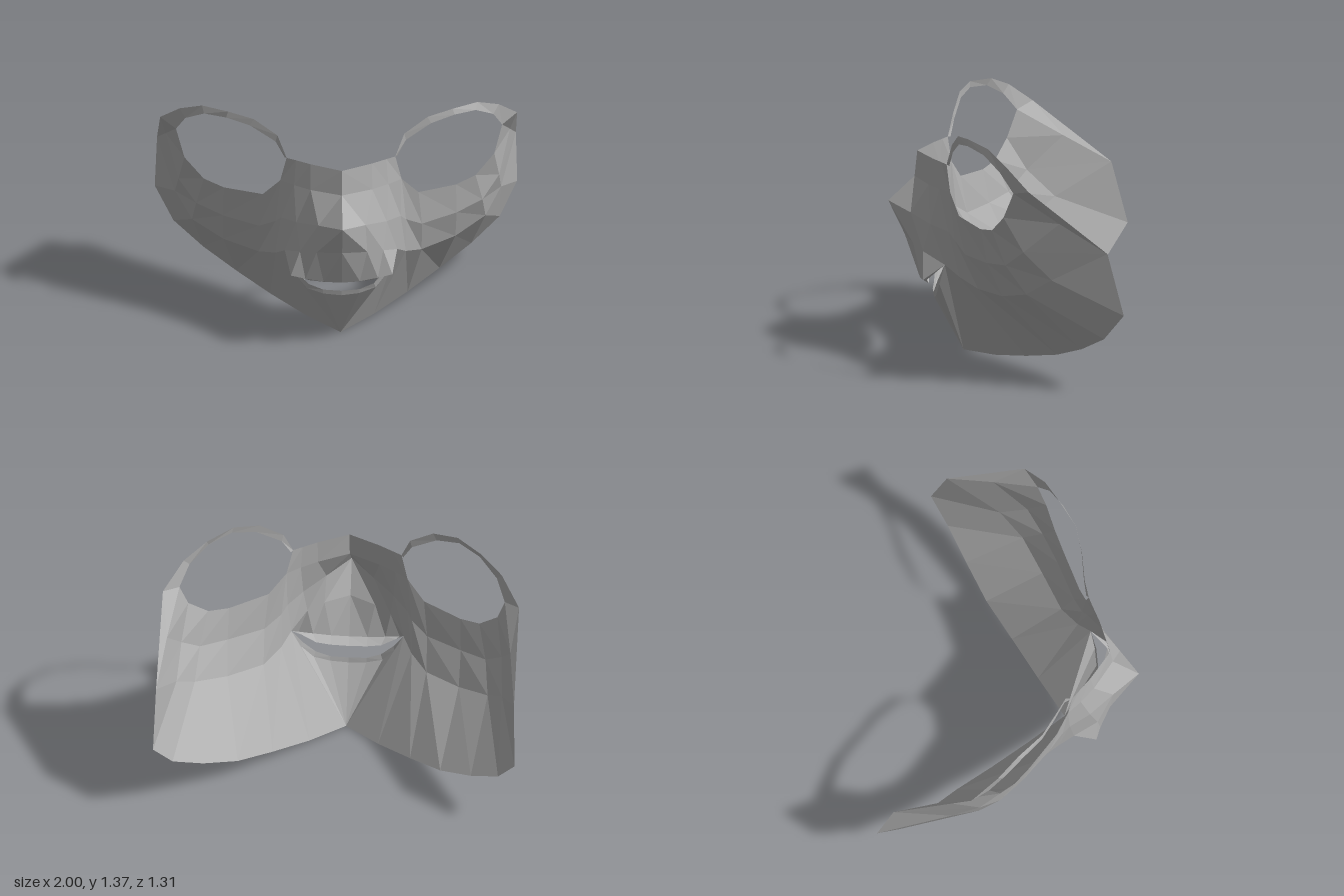
import * as THREE from 'three';

const grey = new THREE.MeshStandardMaterial({ color: 0xb3b3b3 });
grey.name = 'mask grey';
grey.side = THREE.DoubleSide;
grey.flatShading = true;

// Faceted sheet lofted through rows of points (top row first, x rising), plus its mirror image.
function sheet(name, rows) {
  const pos = [];
  const tri = (...pts) => {
    const [a, b, c] = pts.map(p => new THREE.Vector3(...p));
    if (b.clone().sub(a).cross(c.clone().sub(a)).length() < 1e-7) return;
    for (const v of [a, b, c]) pos.push(v.x, v.y, v.z);
    for (const v of [a, c, b]) pos.push(-v.x, v.y, v.z);
  };
  for (let r = 0; r < rows.length - 1; r++) {
    const top = rows[r], low = rows[r + 1];
    for (let i = 0; i < top.length - 1; i++) {
      tri(top[i], low[i], low[i + 1]);
      tri(top[i], low[i + 1], top[i + 1]);
    }
  }
  const geo = new THREE.BufferGeometry();
  geo.setAttribute('position', new THREE.Float32BufferAttribute(pos, 3));
  geo.computeVertexNormals();
  const mesh = new THREE.Mesh(geo, grey);
  mesh.name = name;
  return mesh;
}

export function createModel() {
  const group = new THREE.Group();
  group.name = 'faceMask';

  // Lower edge of the eye hole, from nose to temple
  const eye = [[0.335, 0.985, 0.31], [0.335, 0.985, 0.31], [0.43, 0.875, 0.26], [0.64, 0.857, 0.14],
    [0.75, 0.88, 0.075], [0.855, 0.98, 0.01], [0.9, 1.13, -0.045]];
  const eyeInner = [0.31, 1.13, 0.315];
  const browEnd = [0.3, 1.135, 0.33];
  const temple = [0.985, 1.16, -0.13];

  // Middle of the cheek
  const cheek = [[0.33, 0.76, 0.32], [0.36, 0.72, 0.285], [0.45, 0.66, 0.225], [0.645, 0.665, 0.105],
    [0.79, 0.69, 0], [0.885, 0.79, -0.1], [0.95, 0.97, -0.3]];

  // Crease under the cheek
  const crease = [[0.31, 0.565, 0.34], [0.36, 0.51, 0.26], [0.45, 0.465, 0.155], [0.64, 0.475, 0.02],
    [0.81, 0.53, -0.115], [0.9, 0.635, -0.255], [0.99, 0.81, -0.565]];

  // Bottom edge from chin to the back corner
  const bottom = [[0, 0, 0.24], [0.19, 0.02, 0.065], [0.38, 0.065, -0.11], [0.56, 0.12, -0.28],
    [0.74, 0.2, -0.42], [0.9, 0.3, -0.545], [1, 0.46, -0.655]];

  // Mouth edge of the jaw, from the middle outwards
  const jaw = [[0, 0.315, 0.405], [0.1, 0.325, 0.4], [0.19, 0.355, 0.39], [0.26, 0.44, 0.37]];
  const jawInner = [[0, 0.345, 0.41], [0.1, 0.352, 0.405], [0.18, 0.385, 0.4], [0.25, 0.46, 0.38]];

  group.add(sheet('cheeks', [eye, cheek, crease]));
  group.add(sheet('temples', [[eye[6], temple], [cheek[6], temple], [crease[6], temple]]));
  group.add(sheet('jawSides', [crease, bottom]));
  group.add(sheet('chin', [[...jaw, crease[0]], Array(5).fill(bottom[0])]));
  group.add(sheet('lowerLip', [[...jawInner, crease[0]], [...jaw, crease[0]]]));

  // Thin arch over each eye hole
  group.add(sheet('eyeArches', [
    [browEnd, [0.35, 1.26, 0.3], [0.48, 1.345, 0.265], [0.62, 1.365, 0.21],
      [0.76, 1.345, 0.095], [0.88, 1.28, 0], temple],
    [eyeInner, [0.36, 1.22, 0.295], [0.5, 1.303, 0.26], [0.63, 1.328, 0.21],
      [0.75, 1.308, 0.12], [0.85, 1.235, 0.03], eye[6]],
  ]));

  // Brow, nose and muzzle
  const tipRow = [[0, 0.85, 0.655], [0.13, 0.815, 0.53], [0.25, 0.78, 0.42], cheek[0]];
  group.add(sheet('brow', [
    [[0, 1.135, 0.495], [0.17, 1.135, 0.41], [0.25, 1.135, 0.36], browEnd],
    [[0, 0.99, 0.51], [0.17, 0.985, 0.43], [0.26, 0.985, 0.37], eye[0]],
    tipRow,
  ]));
  const lip = [[0, 0.435, 0.485], [0.1, 0.44, 0.48], [0.2, 0.455, 0.47], [0.28, 0.47, 0.46], crease[0]];
  group.add(sheet('muzzle', [
    [...tipRow, cheek[0]],
    [[0, 0.66, 0.565], [0.14, 0.64, 0.515], [0.23, 0.62, 0.46], crease[0], crease[0]],
    lip,
  ]));
  group.add(sheet('upperLip', [
    lip,
    [[0, 0.41, 0.43], [0.1, 0.413, 0.43], [0.18, 0.425, 0.43], [0.26, 0.465, 0.44], crease[0]],
  ]));

  return group;
}
